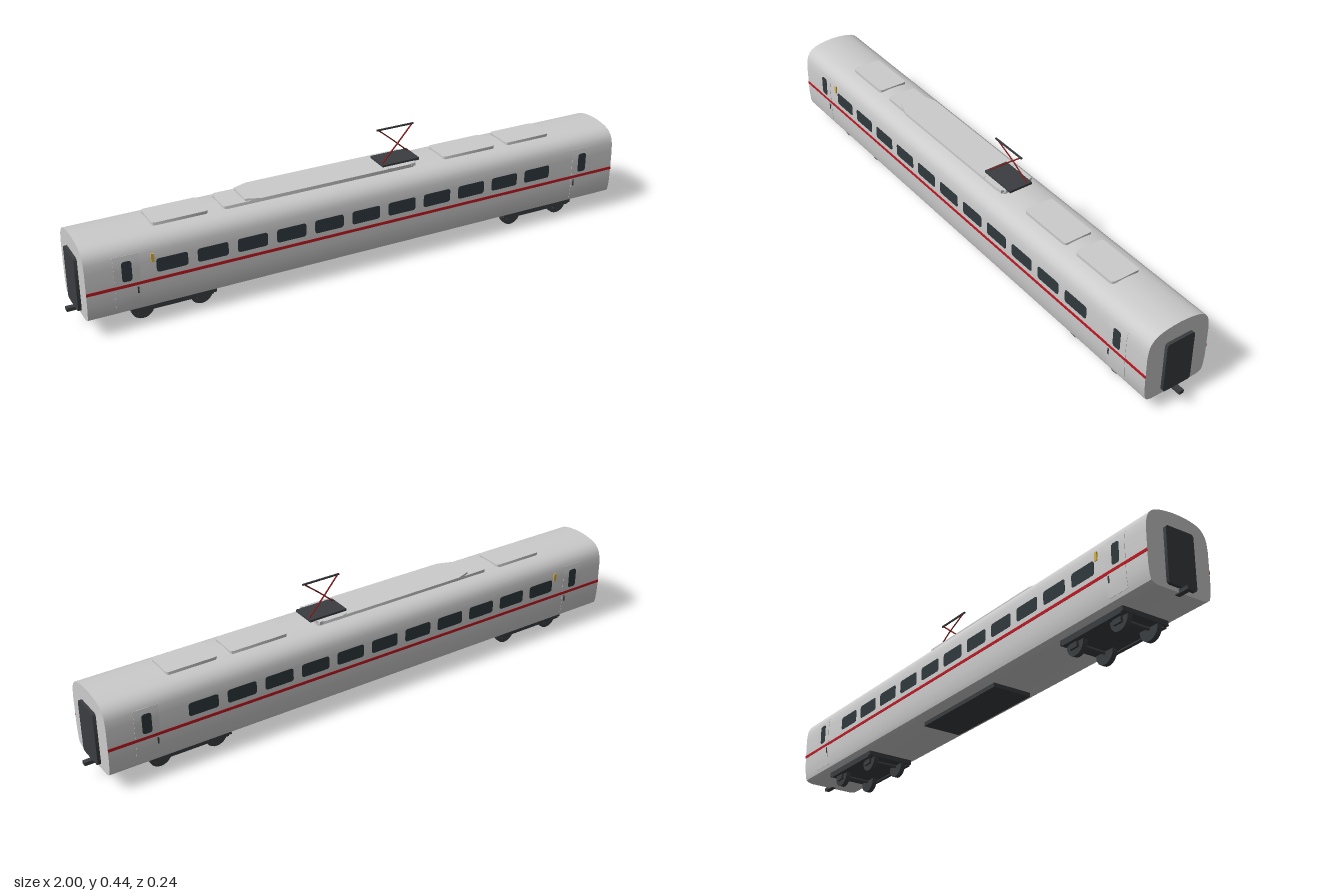
import * as THREE from 'three';
import { toCreasedNormals } from 'three/addons/utils/BufferGeometryUtils.js';

const paint = (color) => new THREE.MeshStandardMaterial({ color });
const grey = paint(0xcccccc), dark = paint(0x3a3d40), glass = paint(0x2f393e);
const red = paint(0xc01822), armRed = paint(0x8c1c1c), yellow = paint(0xd8b040);

// Half of the body cross-section, [z, y] from the floor up to the roof
const SIDE = [
  [0.086, 0.057], [0.1, 0.061], [0.108, 0.066], [0.112, 0.08], [0.1155, 0.115], [0.116, 0.14],
  [0.116, 0.225], [0.113, 0.252], [0.109, 0.267], [0.102, 0.279], [0.092, 0.289], [0.08, 0.296],
  [0.063, 0.301], [0.045, 0.3045], [0.022, 0.307],
];

// Body half-width at height y on the side wall
function wallZ(y) {
  for (let i = 1; i < SIDE.length; i++) {
    const [z0, y0] = SIDE[i - 1], [z1, y1] = SIDE[i];
    if (y <= y1) return z0 + ((z1 - z0) * (y - y0)) / (y1 - y0);
  }
  return 0;
}

function roundedRect(w, h, r) {
  const s = new THREE.Shape(), x = w / 2, y = h / 2;
  s.moveTo(-x + r, -y);
  s.lineTo(x - r, -y).absarc(x - r, -y + r, r, -Math.PI / 2, 0);
  s.lineTo(x, y - r).absarc(x - r, y - r, r, 0, Math.PI / 2);
  s.lineTo(-x + r, y).absarc(-x + r, y - r, r, Math.PI / 2, Math.PI);
  s.lineTo(-x, -y + r).absarc(-x + r, -y + r, r, Math.PI, Math.PI * 1.5);
  return s;
}

const extrude = (shape, depth) =>
  toCreasedNormals(new THREE.ExtrudeGeometry(shape, { depth, bevelEnabled: false, curveSegments: 5 }), 0.6);

function add(parent, name, geometry, material, x = 0, y = 0, z = 0) {
  const mesh = new THREE.Mesh(geometry, material);
  mesh.name = name;
  mesh.position.set(x, y, z);
  parent.add(mesh);
  return mesh;
}

const box = (parent, name, mat, w, h, d, x, y, z) =>
  add(parent, name, new THREE.BoxGeometry(w, h, d), mat, x, y, z);

// Round bar between two points
function rod(parent, name, mat, a, b, r) {
  const path = new THREE.LineCurve3(new THREE.Vector3(...a), new THREE.Vector3(...b));
  return add(parent, name, new THREE.TubeGeometry(path, 1, r, 6), mat);
}

// Flat roof slab seen from above, y0 to y1
function slab(parent, name, shape, mat, x, y0, y1) {
  return add(parent, name, extrude(shape, y1 - y0).rotateX(-Math.PI / 2), mat, x, y0, 0);
}

// Everything on the +z wall; the other wall is its mirror
function buildSide(sign) {
  const side = new THREE.Group();
  side.name = sign > 0 ? 'frontWall' : 'backWall';
  const place = (name, geometry, mat, x, y, z) =>
    add(side, name, sign > 0 ? geometry : geometry.rotateY(Math.PI), mat, x, y, sign * z);

  for (let i = 0; i < 11; i++)
    place('window', extrude(roundedRect(0.102, 0.046, 0.009), 0.002), glass, -0.69 + i * 0.1335, 0.202, 0.115);

  place('stripe', new THREE.BoxGeometry(1.93, 0.01, 0.002), red, 0, 0.157, 0.1165);

  for (const end of [-1, 1]) {
    const x = end * 0.835;
    // Door leaf bent to follow the wall
    const leaf = new THREE.BoxGeometry(0.082, 0.18, 0.002, 1, 12, 1).translate(0, 0.168, 0);
    const p = leaf.attributes.position;
    for (let i = 0; i < p.count; i++) p.setZ(i, p.getZ(i) + wallZ(p.getY(i)));
    leaf.computeVertexNormals();
    place('door', leaf, grey, x, 0, 0);
    place('doorWindow', extrude(roundedRect(0.032, 0.068, 0.009), 0.002), glass, x, 0.206, 0.1155);
    place('doorHandle', new THREE.BoxGeometry(0.005, 0.022, 0.003), dark, x - end * 0.032, 0.135, 0.117);
  }

  place('marker', new THREE.BoxGeometry(0.01, 0.028, 0.004), yellow, -0.752, 0.232, 0.117);
  return side;
}

function buildBogie(x) {
  const bogie = new THREE.Group();
  bogie.name = 'bogie';
  bogie.position.x = x;
  box(bogie, 'bogieFrame', dark, 0.28, 0.016, 0.172, 0, 0.049, 0);
  for (const s of [-1, 1]) {
    box(bogie, 'sideBeam', dark, 0.26, 0.018, 0.012, 0, 0.046, s * 0.08);
    for (const e of [-1, 1]) {
      const wheel = new THREE.CylinderGeometry(0.038, 0.038, 0.017, 24).rotateX(Math.PI / 2);
      add(bogie, 'wheel', wheel, dark, e * 0.0975, 0.038, s * 0.0555);
      box(bogie, 'axleBox', dark, 0.034, 0.026, 0.008, e * 0.0975, 0.034, s * 0.068);
    }
  }
  for (const e of [-1, 1])
    rod(bogie, 'axle', dark, [e * 0.0975, 0.038, -0.055], [e * 0.0975, 0.038, 0.055], 0.006);
  return bogie;
}

function buildPantograph() {
  const g = new THREE.Group();
  g.name = 'pantograph';
  box(g, 'pantographBase', dark, 0.138, 0.008, 0.086, 0.147, 0.323, 0);
  for (const x of [0.095, 0.185]) {
    box(g, 'supportBar', grey, 0.012, 0.006, 0.122, x, 0.316, 0);
    for (const s of [-1, 1]) box(g, 'insulator', grey, 0.012, 0.011, 0.008, x, 0.316, s * 0.057);
  }
  // Crossed arms, each slightly bowed outwards
  for (const s of [-1, 1]) {
    const foot = [0.147 - s * 0.062, 0.327, s * 0.027], knee = [0.147, 0.382, s * 0.0165];
    rod(g, 'lowerArm', armRed, foot, knee, 0.0025);
    rod(g, 'upperArm', armRed, knee, [0.147 + s * 0.062, 0.434, s * 0.001], 0.0025);
  }
  box(g, 'contactBar', dark, 0.138, 0.005, 0.005, 0.147, 0.435, 0);
  return g;
}

export function createModel() {
  const model = new THREE.Group();
  model.name = 'railCarriage';

  // Body shell: the cross-section drawn along x
  const half = SIDE.map(([z, y]) => new THREE.Vector2(z, y));
  const other = SIDE.map(([z, y]) => new THREE.Vector2(-z, y)).reverse();
  const section = new THREE.Shape([...half, new THREE.Vector2(0, 0.308), ...other]);
  add(model, 'body', extrude(section, 1.93).translate(0, 0, -0.965).rotateY(Math.PI / 2), grey);

  model.add(buildSide(1), buildSide(-1));

  // Gangways and couplers at both ends
  for (const s of [-1, 1]) {
    const gangway = extrude(roundedRect(0.104, 0.182, 0.01), 0.016).rotateY((s * Math.PI) / 2);
    add(model, 'gangway', gangway, dark, s * 0.96, 0.161, 0);
    box(model, 'coupler', dark, 0.05, 0.012, 0.017, s * 0.975, 0.06, 0);
    model.add(buildBogie(s * 0.68));
  }

  // Roof panels, [x start, x end]
  for (const [a, b] of [[-0.725, -0.54], [-0.49, 0.195], [0.305, 0.51], [0.555, 0.73]])
    slab(model, 'roofPanel', roundedRect(b - a, 0.106, 0.012), grey, (a + b) / 2, 0.3, 0.313);

  // Raised roof duct with tapered ends
  const duct = new THREE.Shape([
    [-0.415, -0.045], [-0.365, -0.063], [0.17, -0.063], [0.197, -0.045],
    [0.197, 0.045], [0.17, 0.063], [-0.365, 0.063], [-0.415, 0.045],
  ].map(([x, y]) => new THREE.Vector2(x, y)));
  slab(model, 'roofDuct', duct, grey, 0, 0.311, 0.32);

  model.add(buildPantograph());

  // Equipment box under the floor
  box(model, 'underfloorBox', dark, 0.4, 0.018, 0.14, 0.012, 0.052, 0);
  return model;
}
